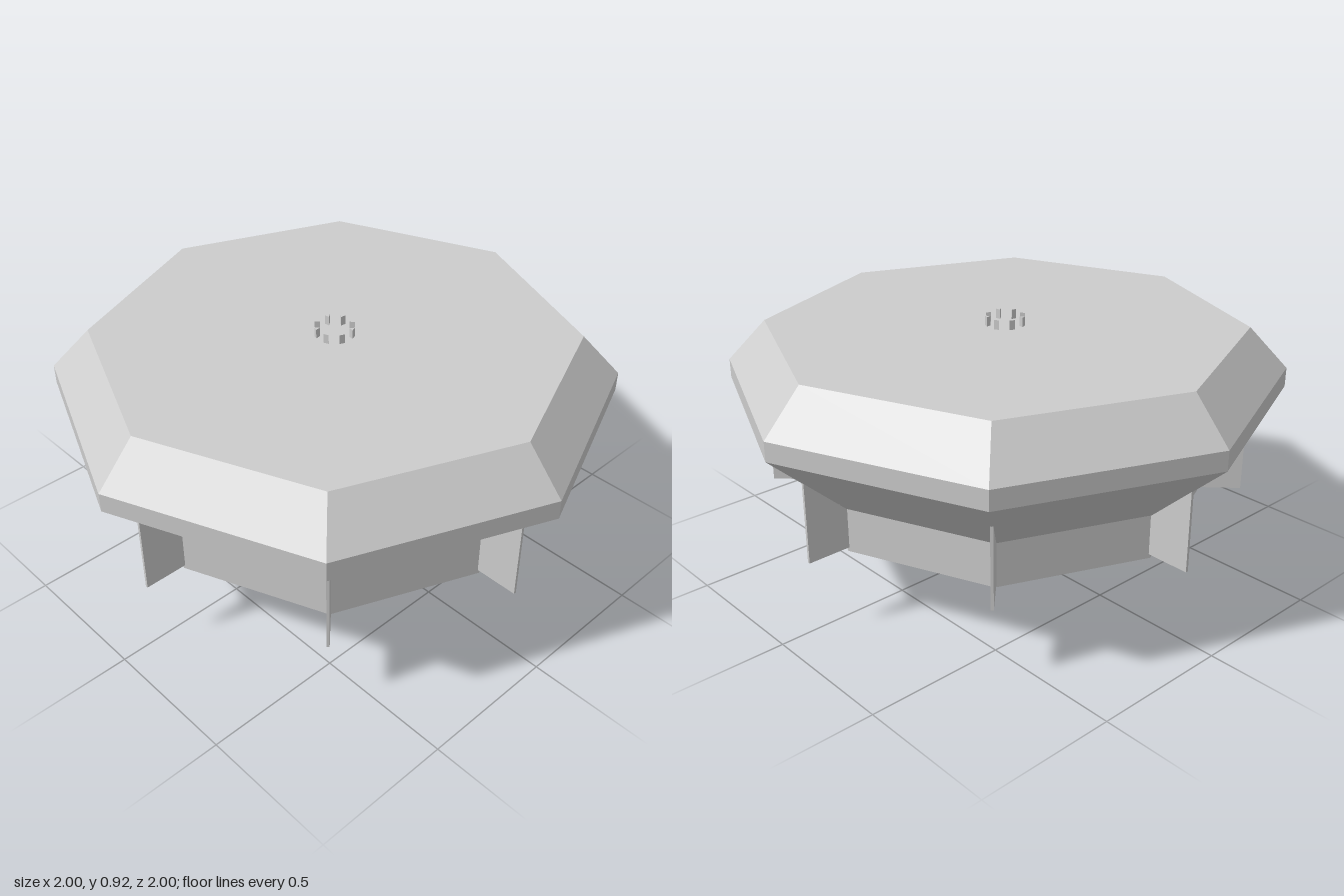
import * as THREE from 'three';

const SIDES = 8;

// Faceted eight-sided solid turned from an [radius, height] profile, bottom to top
function facetedLathe(profile) {
  const points = profile.map(([r, y]) => new THREE.Vector2(r, y));
  const geometry = new THREE.LatheGeometry(points, SIDES).toNonIndexed();
  geometry.computeVertexNormals();
  return geometry;
}

export function createModel() {
  const model = new THREE.Group();
  model.name = 'octagonalDish';

  const grey = new THREE.MeshStandardMaterial({ color: 0xcccccc });
  grey.name = 'light grey';

  const add = (geometry, name, parent = model) => {
    const mesh = new THREE.Mesh(geometry, grey);
    mesh.name = name;
    parent.add(mesh);
    return mesh;
  };

  // Main body: straight base, flared underside, thin rim, bevelled flat top
  add(facetedLathe([
    [0, 0.247], [0.718, 0.247], [0.718, 0.408], [1, 0.67],
    [1, 0.74], [0.86, 0.89], [0, 0.89],
  ]), 'body');

  // Stem with a small recess in its foot
  add(facetedLathe([
    [0, 0.03], [0.025, 0.03], [0.025, 0], [0.12, 0], [0.12, 0.25],
  ]), 'stem');

  // Thin radial fins under each corner, following the flare
  const thickness = 0.01;
  const finShape = new THREE.Shape([
    new THREE.Vector2(0.7, 0.262), new THREE.Vector2(0.875, 0.262),
    new THREE.Vector2(0.875, 0.555), new THREE.Vector2(0.7, 0.392),
  ]);
  const finGeometry = new THREE.ExtrudeGeometry(finShape, { depth: thickness, bevelEnabled: false });
  finGeometry.translate(0, 0, -thickness / 2);

  // Ring of small three-sided pins on top
  const pinGeometry = new THREE.CylinderGeometry(0.011, 0.011, 0.045, 3).toNonIndexed();
  pinGeometry.computeVertexNormals();

  const fins = new THREE.Group();
  fins.name = 'fins';
  const pins = new THREE.Group();
  pins.name = 'pins';
  model.add(fins, pins);

  for (let i = 0; i < SIDES; i++) {
    const angle = (i / SIDES) * Math.PI * 2;
    add(finGeometry, 'fin', fins).rotation.y = angle;

    const pinAngle = angle + Math.PI / SIDES;
    const pin = add(pinGeometry, 'pin', pins);
    pin.position.set(Math.sin(pinAngle) * 0.066, 0.902, Math.cos(pinAngle) * 0.066);
    pin.rotation.y = pinAngle + Math.PI;
  }

  return model;
}
